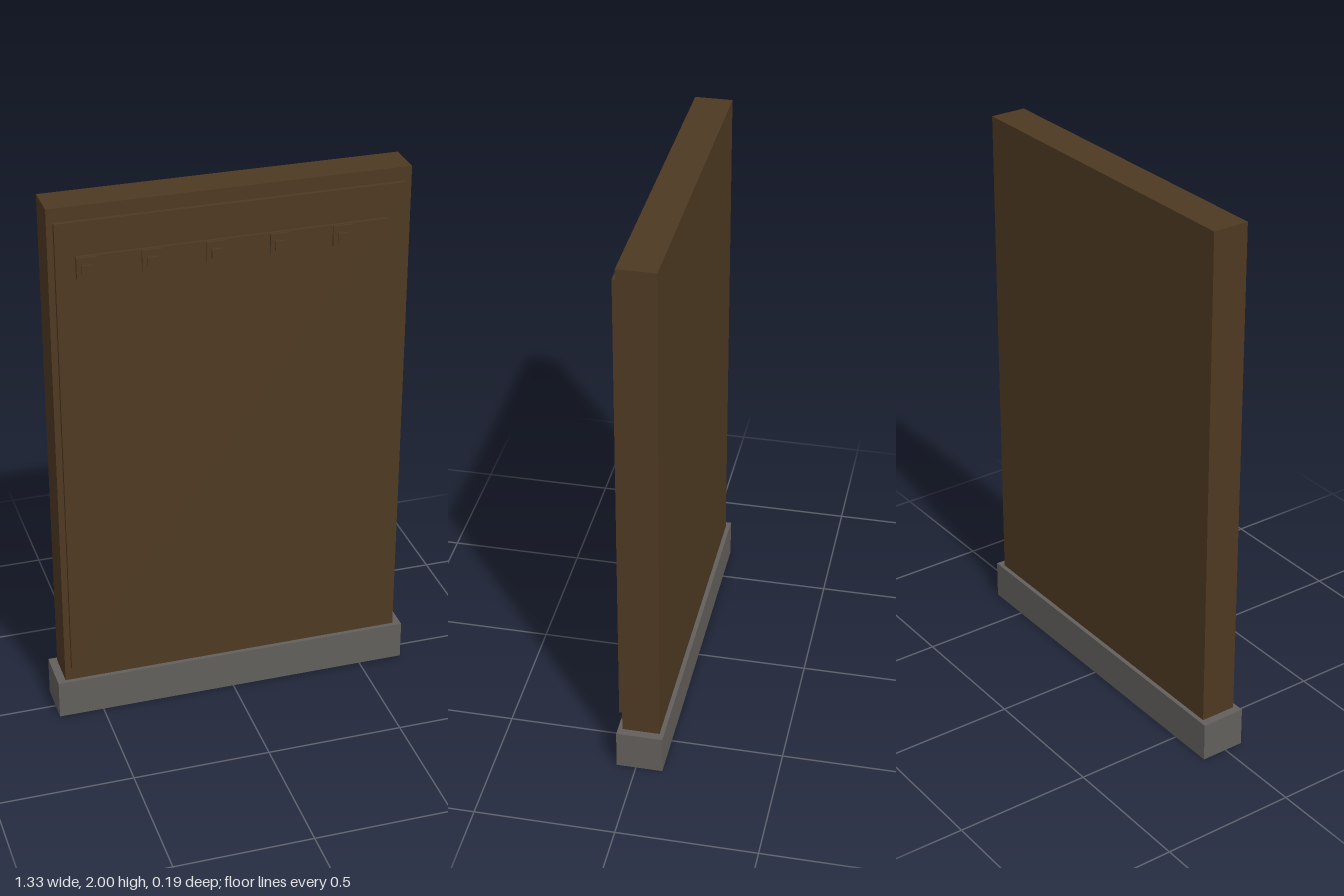
import * as THREE from 'three';

export function createModel() {
  const model = new THREE.Group();
  const wood = new THREE.MeshStandardMaterial({ color: 0x4e3922 });
  wood.name = 'dark wood';
  const stone = new THREE.MeshStandardMaterial({ color: 0x625f5c });
  stone.name = 'grey stone';

  // Box given by its minimum and maximum corners
  const box = (name, material, [x0, y0, z0], [x1, y1, z1], parent = model) => {
    const mesh = new THREE.Mesh(new THREE.BoxGeometry(x1 - x0, y1 - y0, z1 - z0), material);
    mesh.position.set((x0 + x1) / 2, (y0 + y1) / 2, (z0 + z1) / 2);
    mesh.name = name;
    parent.add(mesh);
  };

  // Plinth, upright board and its raised front panel
  box('base', stone, [-0.665, 0, -0.096], [0.665, 0.145, 0.07]);
  box('board', wood, [-0.635, 0.145, -0.08], [0.635, 2, 0.054]);
  box('frontPanel', wood, [-0.613, 0.2, 0.054], [0.613, 1.95, 0.07]);
  box('rail', wood, [-0.545, 1.75, 0.07], [0.545, 1.83, 0.081]);

  // Five square plates along the rail, each with a small stepped hook
  for (let i = 0; i < 5; i++) {
    const hook = new THREE.Group();
    hook.name = 'hook' + (i + 1);
    hook.position.x = -0.51 + i * 0.223;
    box('hookPlate', wood, [-0.036, 1.752, 0.081], [0.036, 1.828, 0.089], hook);
    box('hookStem', wood, [-0.02, 1.77, 0.089], [-0.008, 1.803, 0.096], hook);
    box('hookBar', wood, [-0.008, 1.79, 0.089], [0.014, 1.803, 0.096], hook);
    model.add(hook);
  }
  return model;
}
